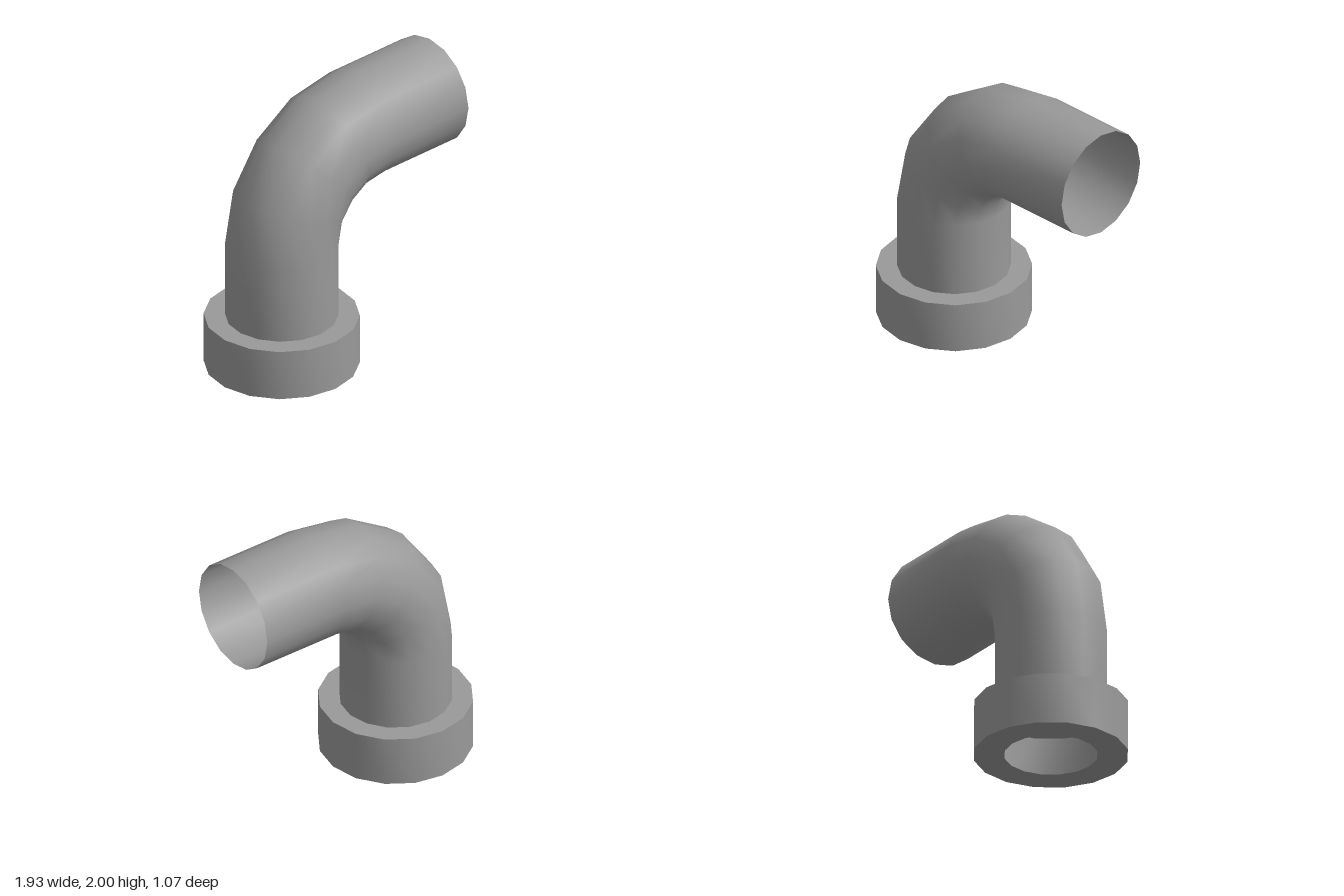
import * as THREE from 'three';
import { toCreasedNormals } from 'three/addons/utils/BufferGeometryUtils.js';

const SIDES = 16;
const PIPE_RADIUS = 0.39;
const AXIS_X = -0.43;

// Sweep a circle through stations [x, y, turn in degrees]; turn 0 runs up, 90 runs along +x
function sweepPipe(stations, radius) {
  const positions = [], index = [];
  for (const [x, y, turn] of stations) {
    const a = THREE.MathUtils.degToRad(turn);
    for (let i = 0; i < SIDES; i++) {
      const t = (i / SIDES) * Math.PI * 2;
      const out = radius * Math.cos(t);
      positions.push(x - out * Math.cos(a), y + out * Math.sin(a), radius * Math.sin(t));
    }
  }
  for (let j = 0; j < stations.length - 1; j++) {
    for (let i = 0; i < SIDES; i++) {
      const a = j * SIDES + i, b = j * SIDES + (i + 1) % SIDES;
      index.push(a, b, a + SIDES, b, b + SIDES, a + SIDES);
    }
  }
  const geometry = new THREE.BufferGeometry();
  geometry.setAttribute('position', new THREE.Float32BufferAttribute(positions, 3));
  geometry.setIndex(index);
  geometry.computeVertexNormals();
  return geometry;
}

export function createModel() {
  const group = new THREE.Group();
  group.name = 'pipeElbow';
  const material = new THREE.MeshStandardMaterial({ color: 0x9a9a9a, side: THREE.DoubleSide });

  // Open thin pipe: upright, four-step bend, then level outlet
  const pipe = new THREE.Mesh(sweepPipe([
    [AXIS_X, 0.37, 0],
    [AXIS_X, 0.917, 0],
    [-0.375, 1.197, 23.2],
    [-0.215, 1.42, 46.3],
    [0.014, 1.565, 69.5],
    [0.286, 1.61, 90],
    [0.967, 1.61, 90],
  ], PIPE_RADIUS), material);
  pipe.name = 'bentPipe';
  group.add(pipe);

  // Hollow collar: bottom rim with a hole, outer wall, top rim meeting the pipe
  const profile = [[0.324, 0], [0.537, 0], [0.537, 0.37], [PIPE_RADIUS, 0.37]]
    .map(([r, y]) => new THREE.Vector2(r, y));
  const collar = new THREE.Mesh(
    toCreasedNormals(new THREE.LatheGeometry(profile, SIDES), 0.6), material);
  collar.name = 'collar';
  collar.position.x = AXIS_X;
  group.add(collar);

  return group;
}
